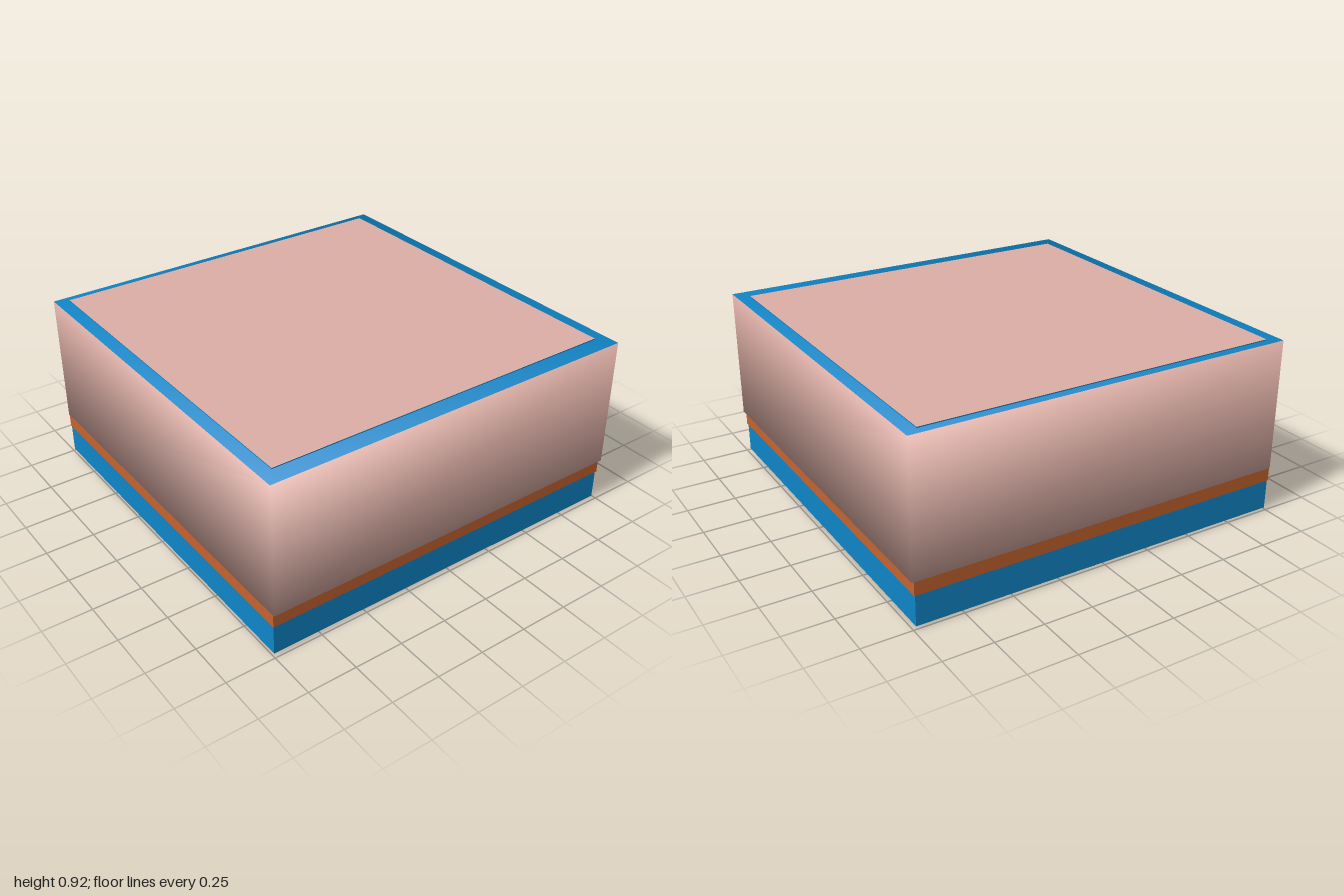
import * as THREE from 'three';
import { mergeVertices } from 'three/addons/utils/BufferGeometryUtils.js';

function material(name, color) {
  const m = new THREE.MeshStandardMaterial({ color });
  m.name = name;
  return m;
}

export function createModel() {
  const pink = material('dusty pink', 0xdcaea5);
  const blue = material('bright blue', 0x0f86c8);
  const orange = material('burnt orange', 0xc4632f);
  const group = new THREE.Group();

  // Box given by its bounds; materials for the sides, top and bottom
  function slab(name, [x0, x1], [y0, y1], [z0, z1], side, top, bottom, smooth = false) {
    let geo = new THREE.BoxGeometry(x1 - x0, y1 - y0, z1 - z0);
    if (smooth) {
      geo.deleteAttribute('normal');
      geo.deleteAttribute('uv');
      geo = mergeVertices(geo);
      geo.computeVertexNormals();
    }
    const mesh = new THREE.Mesh(geo, [side, side, top, bottom, side, side]);
    mesh.position.set((x0 + x1) / 2, (y0 + y1) / 2, (z0 + z1) / 2);
    mesh.name = name;
    group.add(mesh);
  }

  // Stacked layers, softly shaded upper body with a blue rim on top
  slab('base', [-0.995, 0.985], [0.012, 0.166], [-0.985, 0.995], blue, blue, pink);
  slab('band', [-0.998, 0.99], [0.166, 0.236], [-0.99, 0.998], orange, orange, orange);
  slab('body', [-1, 1], [0.236, 0.915], [-1, 1], pink, blue, pink, true);
  slab('topPanel', [-0.957, 0.91], [0.915, 0.92], [-0.935, 0.932], blue, pink, blue);

  // Woven underside: small tiles tilted alternately along x and z
  const n = 20, x0 = -0.995, z0 = -0.985, step = 1.98 / n, depth = 0.012;
  const positions = [];
  for (let i = 0; i < n; i++) {
    for (let j = 0; j < n; j++) {
      const alongX = (i + j) % 2 === 0;
      const corner = (u, v) => [
        x0 + (i + u) * step,
        depth * (alongX ? u : v) * 0.95,
        z0 + (j + v) * step,
      ];
      const a = corner(0, 0), b = corner(1, 0), c = corner(1, 1), d = corner(0, 1);
      positions.push(...a, ...b, ...c, ...a, ...c, ...d);
    }
  }
  const weaveGeo = new THREE.BufferGeometry();
  weaveGeo.setAttribute('position', new THREE.Float32BufferAttribute(positions, 3));
  weaveGeo.computeVertexNormals();
  const weave = new THREE.Mesh(weaveGeo, pink);
  weave.name = 'wovenUnderside';
  group.add(weave);

  return group;
}
